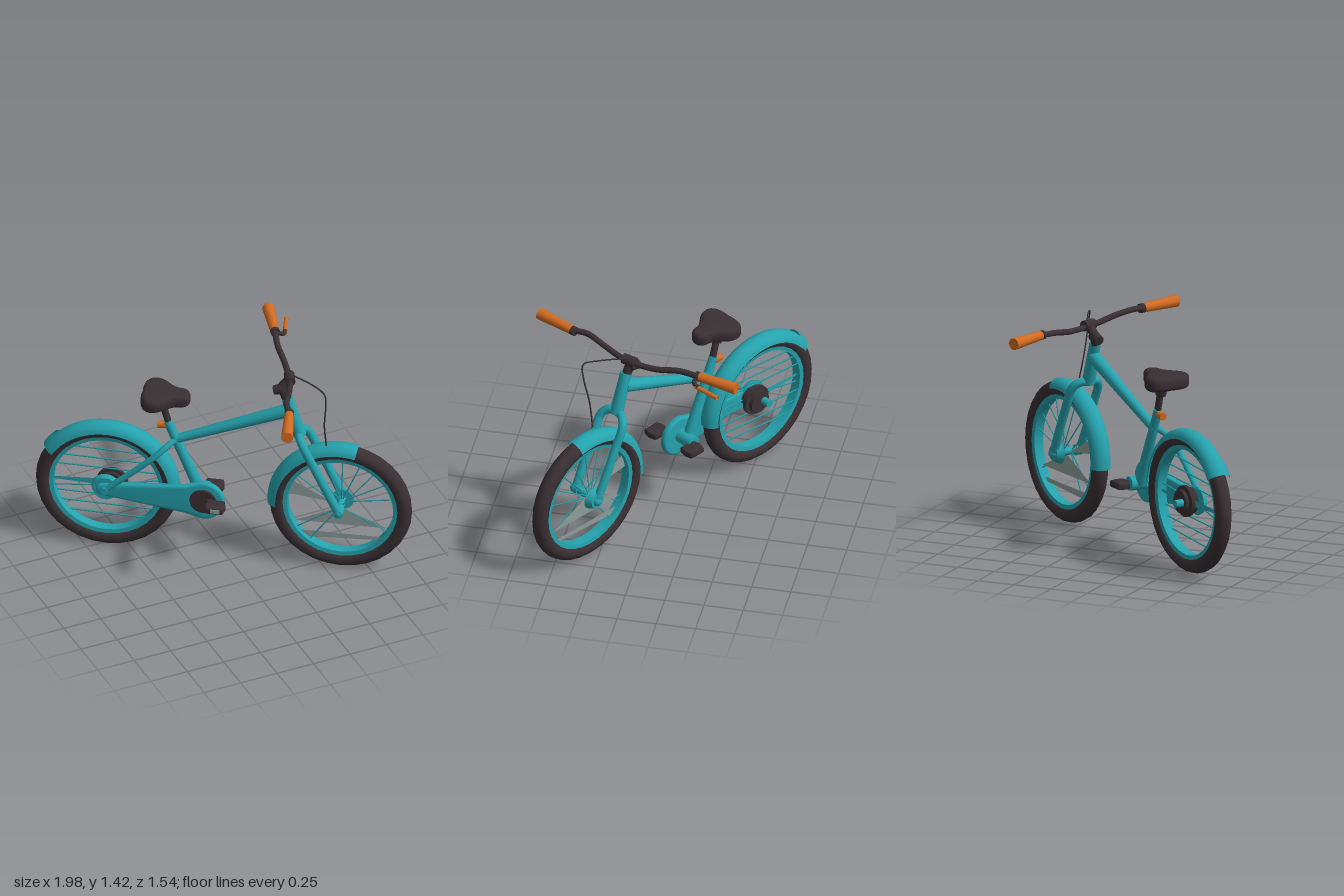
import * as THREE from 'three';
import { toCreasedNormals } from 'three/addons/utils/BufferGeometryUtils.js';

const material = (name, color) => {
  const m = new THREE.MeshStandardMaterial({ color, side: THREE.DoubleSide });
  m.name = name;
  return m;
};
const V = (p) => new THREE.Vector3(...p);

export function createModel() {
  const teal = material('teal paint', 0x25a3ae);
  const dark = material('dark rubber', 0x3a3033);
  const orange = material('orange grip', 0xd26a20);
  const grey = material('spoke grey', 0x8fa09c);

  const model = new THREE.Group();
  model.name = 'bicycle';

  const add = (parent, name, geometry, mat, pos = [0, 0, 0]) => {
    const mesh = new THREE.Mesh(geometry, mat);
    mesh.name = name;
    mesh.position.set(...pos);
    parent.add(mesh);
    return mesh;
  };
  // Straight, optionally tapered rod between two points
  const rod = (parent, name, a, b, ra, rb, mat, sides = 14) => {
    const from = V(a), dir = V(b).sub(from);
    const mesh = add(parent, name, new THREE.CylinderGeometry(rb, ra, dir.length(), sides), mat);
    mesh.position.copy(from).addScaledVector(dir, 0.5);
    mesh.quaternion.setFromUnitVectors(new THREE.Vector3(0, 1, 0), dir.normalize());
    return mesh;
  };
  // Bent tube through points
  const pipe = (parent, name, points, r, mat, sides = 10) =>
    add(parent, name, new THREE.TubeGeometry(new THREE.CatmullRomCurve3(points.map(V)), 32, r, sides), mat);
  // Profile of [radius, side offset] turned about the sideways axle; angles in degrees from forward
  const turned = (parent, name, profile, mat, from = 0, to = 360, segments = 40) => {
    const g = new THREE.LatheGeometry(profile.map((p) => new THREE.Vector2(...p)), segments,
      THREE.MathUtils.degToRad(from + 90), THREE.MathUtils.degToRad(to - from));
    g.rotateX(Math.PI / 2);
    return add(parent, name, toCreasedNormals(g, 0.7), mat);
  };
  const mudguard = (parent, name, from, to, r = 0.068) => {
    const profile = [];
    for (let i = -5; i <= 5; i++) {
      const a = (i / 5) * 1.45;
      profile.push([0.395 + r * Math.cos(a), r * Math.sin(a)]);
    }
    return turned(parent, name, profile, teal, from, to, 28);
  };
  const plate = (parent, name, points, mat) =>
    add(parent, name, new THREE.ShapeGeometry(new THREE.Shape(points.map((p) => new THREE.Vector2(...p)))), mat);

  // The bike lies in its own XY plane (forward = +x) and is turned as a whole
  const heading = 0.597;
  const bike = new THREE.Group();
  bike.name = 'bikeBody';
  bike.rotation.y = -heading;
  bike.position.set(0.07 * Math.sin(heading), 0, -0.07 * Math.cos(heading));
  model.add(bike);

  // Wheels
  const wheel = (name, x) => {
    const g = new THREE.Group();
    g.name = name;
    g.position.set(x, 0.45, 0);
    bike.add(g);
    add(g, 'tyre', new THREE.TorusGeometry(0.398, 0.052, 12, 32), dark);
    turned(g, 'rim', [[0.335, -0.032], [0.365, -0.036], [0.365, 0.036], [0.335, 0.032], [0.335, -0.032]], teal);
    rod(g, 'axle', [0, 0, -0.11], [0, 0, 0.11], 0.025, 0.025, teal);
    return g;
  };
  const rear = wheel('rearWheel', -0.785);
  const front = wheel('frontWheel', 0.69);

  // Rear wheel: level spokes, wedges, sprockets and hub cover
  for (const s of [-1, 1]) {
    for (const h of [0.1, 0.17, 0.24]) {
      const half = Math.sqrt(0.342 ** 2 - h * h);
      rod(rear, 'spoke', [-half, s * h, -0.02], [half, s * h + 0.012, 0.02], 0.005, 0.005, teal, 5);
    }
    plate(rear, 'spokeWedge', [[0, 0.025], [s * 0.34, 0.008], [s * 0.34, -0.008], [0, -0.025]], teal);
    rod(rear, 'spoke', [0, 0, 0.03], [s * 0.33, s * 0.05, 0], 0.005, 0.005, teal, 5);
  }
  for (const [r, z] of [[0.075, -0.045], [0.1, -0.015], [0.085, 0.015], [0.06, 0.035]])
    rod(rear, 'sprocket', [0.03, 0, z - 0.012], [0.03, 0, z + 0.012], r, r, dark, 18);
  rod(rear, 'hubCover', [0, 0, 0.045], [0, 0, 0.075], 0.092, 0.08, teal, 20);

  // Front wheel: fine spokes, wide grey spoke plates and hub drum
  for (const deg of [12, 32, 50, 68, 88, 108, 128, 145, 215, 235, 330])  {
    const a = THREE.MathUtils.degToRad(deg);
    rod(front, 'spoke', [0, 0, deg % 4 ? 0.03 : -0.03], [0.34 * Math.cos(a), 0.34 * Math.sin(a), 0], 0.004, 0.004, teal, 5);
  }
  plate(front, 'spokePlate', [[-0.31, 0.15], [-0.335, 0.05], [-0.05, 0.01]], grey);
  plate(front, 'spokePlate', [[0, -0.02], [-0.29, -0.15], [0.29, -0.15]], grey);
  plate(front, 'spokePlate', [[-0.26, -0.22], [0.26, -0.22], [0.24, -0.245], [-0.21, -0.265]], grey);
  rod(front, 'hubDrum', [0, 0, -0.1], [0, 0, -0.055], 0.05, 0.072, teal, 18);
  rod(front, 'hubCap', [0, 0, 0.06], [0, 0, 0.12], 0.035, 0.028, teal);

  // Mudguards
  mudguard(rear, 'rearMudguard', 0, 143);
  mudguard(rear, 'rearMudflap', 135, 147, 0.08);
  mudguard(front, 'frontMudguard', 76, 183);

  // Frame
  rod(bike, 'headTube', [0.43, 0.95, 0], [0.35, 1.22, 0], 0.042, 0.036, teal, 18);
  rod(bike, 'topTube', [0.37, 1.13, 0], [-0.37, 0.82, 0], 0.044, 0.028, teal, 18);
  rod(bike, 'seatTube', [-0.19, 0.44, 0], [-0.405, 0.96, 0], 0.038, 0.027, teal, 16);
  pipe(bike, 'seatStay', [[-0.34, 0.84, 0], [-0.41, 0.79, 0.06], [-0.47, 0.735, 0.085], [-0.785, 0.45, 0.09]], 0.02, teal);
  rod(bike, 'seatClamp', [-0.41, 0.93, 0], [-0.465, 0.925, 0], 0.024, 0.024, orange);

  // Fork with two mirrored legs
  for (const s of [-1, 1]) {
    pipe(bike, 'forkLeg', [[0.425, 0.955, 0], [0.44, 0.955, s * 0.055], [0.47, 0.915, s * 0.095],
      [0.54, 0.77, s * 0.1], [0.615, 0.61, s * 0.1], [0.69, 0.45, s * 0.095]], 0.028, teal, 12);
    add(bike, 'forkEnd', new THREE.SphereGeometry(0.034, 12, 8), teal, [0.69, 0.45, s * 0.095]);
  }

  // Chain guard: rounded outline narrowing to the rear axle
  const outline = new THREE.Shape();
  outline.absarc(-0.165, 0.435, 0.115, -1.7, 1.7, false);
  outline.lineTo(-0.28, 0.515);
  outline.absarc(-0.8, 0.45, 0.025, 1.7, 4.5, false);
  outline.lineTo(-0.28, 0.35);
  outline.closePath();
  const guard = new THREE.ExtrudeGeometry(outline,
    { depth: 0.02, bevelSize: 0.018, bevelThickness: 0.012, bevelSegments: 3, curveSegments: 20 });
  add(bike, 'chainGuard', toCreasedNormals(guard, 0.7), teal, [0, 0, 0.06]);

  // Cranks and pedals
  rod(bike, 'bottomBracket', [-0.17, 0.44, -0.07], [-0.17, 0.44, 0.08], 0.045, 0.045, teal, 18);
  rod(bike, 'chainring', [-0.165, 0.44, 0.08], [-0.165, 0.44, 0.105], 0.088, 0.082, dark, 24);
  const pedalShape = new THREE.Shape([[-0.045, -0.04], [0.045, -0.04], [0.055, 0], [0.045, 0.04], [-0.045, 0.04], [-0.055, 0]]
    .map((p) => new THREE.Vector2(...p)));
  const pedalGeometry = toCreasedNormals(new THREE.ExtrudeGeometry(pedalShape,
    { depth: 0.025, bevelSize: 0.01, bevelThickness: 0.01, bevelSegments: 2 }).rotateX(-Math.PI / 2), 0.7);
  for (const [x, y, z, s] of [[-0.075, 0.455, 0.17, 1], [-0.125, 0.43, -0.1, -1]]) {
    rod(bike, 'crank', [-0.165, 0.44, s * 0.05], [x, y, z], 0.026, 0.02, dark);
    add(bike, 'pedal', pedalGeometry, dark, [x, y - 0.0125, z]);
  }
  add(bike, 'pedalPlate', new THREE.BoxGeometry(0.06, 0.026, 0.006), grey, [-0.07, 0.457, 0.221]);

  // Saddle and post
  rod(bike, 'seatPost', [-0.395, 0.94, 0], [-0.445, 1.12, 0], 0.022, 0.022, dark);
  rod(bike, 'seatPostCollar', [-0.435, 1.06, 0], [-0.447, 1.11, 0], 0.034, 0.038, dark);
  const saddle = new THREE.Shape();
  saddle.moveTo(-0.53, 0);
  saddle.bezierCurveTo(-0.54, 0.06, -0.53, 0.12, -0.49, 0.12);
  saddle.bezierCurveTo(-0.42, 0.12, -0.41, 0.035, -0.31, 0.03);
  saddle.quadraticCurveTo(-0.285, 0.025, -0.285, 0);
  saddle.quadraticCurveTo(-0.285, -0.025, -0.31, -0.03);
  saddle.bezierCurveTo(-0.41, -0.035, -0.42, -0.12, -0.49, -0.12);
  saddle.bezierCurveTo(-0.53, -0.12, -0.54, -0.06, -0.53, 0);
  const saddleGeometry = new THREE.ExtrudeGeometry(saddle,
    { depth: 0.03, bevelSize: 0.028, bevelThickness: 0.032, bevelSegments: 5, curveSegments: 10 });
  saddleGeometry.rotateX(-Math.PI / 2);
  add(bike, 'saddle', toCreasedNormals(saddleGeometry, 0.9), dark, [0, 1.138, 0.015]);

  // Handlebar assembly, swung away from the frame direction
  const bars = new THREE.Group();
  bars.name = 'handlebarAssembly';
  model.add(bars);
  pipe(bars, 'handlebar', [[0.17, 1.375, 0.52], [0.2, 1.385, 0.41], [0.26, 1.37, 0.31], [0.33, 1.34, 0.18],
    [0.375, 1.33, 0.06], [0.41, 1.335, -0.08], [0.43, 1.36, -0.22], [0.48, 1.37, -0.37]], 0.019, dark);
  rod(bars, 'headset', [0.33, 1.21, 0.135], [0.31, 1.275, 0.115], 0.03, 0.03, dark);
  rod(bars, 'stemKnob', [0.27, 1.255, 0.075], [0.33, 1.275, 0.115], 0.03, 0.036, dark);
  rod(bars, 'stem', [0.3, 1.265, 0.095], [0.36, 1.34, 0.11], 0.03, 0.028, dark);
  rod(bars, 'barClamp', [0.345, 1.34, 0.15], [0.375, 1.34, 0.07], 0.034, 0.034, dark);
  for (const [a, b, c, r] of [
    [[0.17, 1.375, 0.515], [0.05, 1.38, 0.745], [0.183, 1.375, 0.49], 0.029],
    [[0.475, 1.37, -0.36], [0.545, 1.365, -0.61], [0.47, 1.37, -0.335], 0.029]]) {
    rod(bars, 'grip', a, b, r, 0.038, orange, 16);
    rod(bars, 'gripCollar', c, a, 0.03, 0.03, dark);
  }
  pipe(bars, 'leverMount', [[0.48, 1.365, -0.34], [0.52, 1.35, -0.335], [0.55, 1.34, -0.37]], 0.014, dark);
  pipe(bars, 'brakeLever', [[0.54, 1.34, -0.35], [0.57, 1.335, -0.41], [0.62, 1.33, -0.505]], 0.014, orange);
  pipe(bars, 'brakeCable', [[0.375, 1.365, 0.12], [0.44, 1.37, 0.28], [0.475, 1.35, 0.38], [0.485, 1.25, 0.375],
    [0.495, 1.08, 0.335], [0.52, 0.91, 0.31]], 0.005, dark, 6);

  return model;
}
